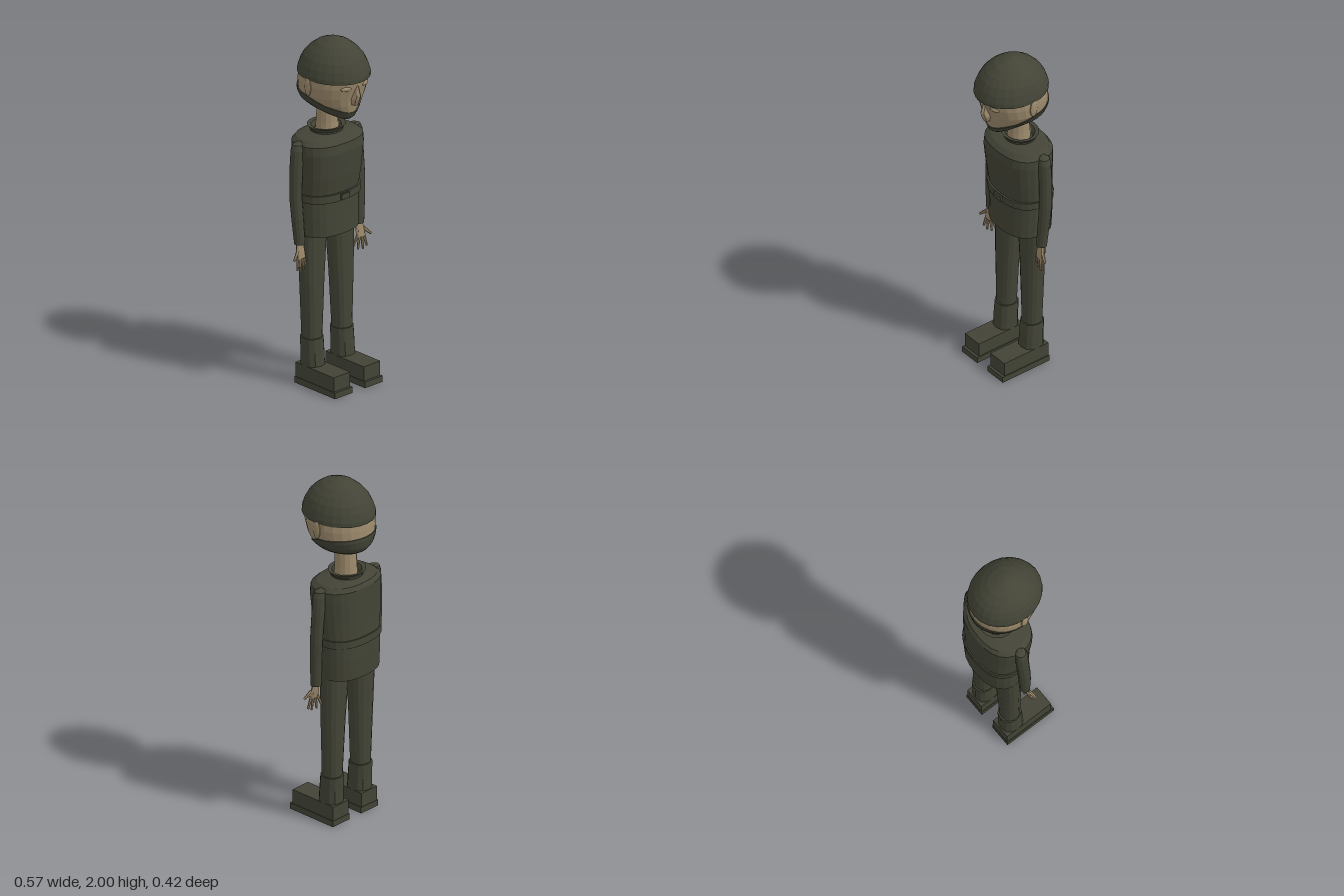
import * as THREE from 'three';

const mat = (name, color) => {
  const m = new THREE.MeshStandardMaterial({ color, flatShading: true, side: THREE.DoubleSide });
  m.name = name;
  return m;
};

// Closed skin from a grid of points: rows run upwards, columns run around y.
function skin(rows) {
  const n = rows[0].length, pos = [], idx = [];
  rows.forEach(r => r.forEach(p => pos.push(...p)));
  for (let i = 0; i < rows.length - 1; i++) for (let j = 0; j < n; j++) {
    const k = (j + 1) % n, a = i * n + j, b = i * n + k, c = b + n, d = a + n;
    idx.push(a, b, c, a, c, d);
  }
  const last = (rows.length - 1) * n;
  for (let j = 1; j < n - 1; j++) idx.push(0, j + 1, j, last, last + j, last + j + 1);
  const g = new THREE.BufferGeometry();
  g.setAttribute('position', new THREE.Float32BufferAttribute(pos, 3));
  g.setIndex(idx);
  g.computeVertexNormals();
  return g;
}

// One rounded cross-section: y, centre x, half width, front z, back z.
function ring([y, cx, rx, zf, zb], n = 20, power = 2) {
  const e = 2 / power, out = [];
  for (let j = 0; j < n; j++) {
    const a = j / n * Math.PI * 2, s = Math.sin(a), c = Math.cos(a);
    out.push([cx + rx * Math.sign(s) * Math.abs(s) ** e, y,
      (zf + zb) / 2 + (zf - zb) / 2 * Math.sign(c) * Math.abs(c) ** e]);
  }
  return out;
}
const loft = (sections, n, power) => skin(sections.map(s => ring(s, n, power)));

// Head outline, chin to crown
const HEAD = [
  [1.56, 0, 0.03, 0.115, 0.01], [1.58, 0, 0.065, 0.14, -0.09], [1.61, 0, 0.105, 0.15, -0.165],
  [1.65, 0, 0.15, 0.158, -0.198], [1.70, 0, 0.178, 0.168, -0.206], [1.76, 0, 0.184, 0.185, -0.203],
  [1.82, 0, 0.18, 0.195, -0.195]];
function headAt(y) {
  let i = 0;
  while (i < HEAD.length - 2 && y > HEAD[i + 1][0]) i++;
  const t = (y - HEAD[i][0]) / (HEAD[i + 1][0] - HEAD[i][0]);
  return HEAD[i].map((v, k) => v + (HEAD[i + 1][k] - v) * t);
}

export function createModel() {
  const root = new THREE.Group();
  const olive = mat('olive cloth', 0x434436), flesh = mat('skin', 0x9c8a6c);
  const add = (name, geo, m, parent = root) => {
    const mesh = new THREE.Mesh(geo, m);
    mesh.name = name;
    parent.add(mesh);
    return mesh;
  };
  const box = (name, w, h, d, x, y, z, parent) =>
    add(name, new THREE.BoxGeometry(w, h, d), olive, parent).position.set(x, y, z);
  const rod = (name, a, b, r0, r1, m, parent) => {
    const A = new THREE.Vector3(...a), B = new THREE.Vector3(...b), dir = B.clone().sub(A);
    const r = add(name, new THREE.CylinderGeometry(r1, r0, dir.length(), 6), m, parent);
    r.position.copy(A).add(B).multiplyScalar(0.5);
    r.quaternion.setFromUnitVectors(new THREE.Vector3(0, 1, 0), dir.normalize());
  };
  const ball = (name, sx, sy, sz, x, y, z, m, parent) => {
    const b = add(name, new THREE.SphereGeometry(1, 10, 8), m, parent);
    b.scale.set(sx, sy, sz);
    b.position.set(x, y, z);
    return b;
  };

  // Helmet
  const dome = [[0.186, 1.797], [0.184, 1.82], [0.172, 1.86], [0.153, 1.9], [0.125, 1.935],
    [0.086, 1.968], [0.04, 1.99], [0, 2]].map(p => new THREE.Vector2(...p));
  add('helmet', new THREE.LatheGeometry(dome, 24), olive).scale.z = 0.212 / 0.186;

  // Head and the wrap around jaw and nape, with an upper edge that rises to the back
  const head = new THREE.Group();
  head.name = 'head';
  root.add(head);
  add('face', loft(HEAD, 24), flesh, head);
  const wrap = [], N = 32;
  for (let i = 0; i <= 8; i++) {
    const row = [];
    for (let j = 0; j < N; j++) {
      const c = Math.cos(j / N * Math.PI * 2), s = (1 - c) / 2;
      const edge = s < 0.5 ? 1.605 + 0.2 * s : 1.705 + 0.03 * (s - 0.5);
      const [y, cx, rx, zf, zb] = headAt(1.56 + (edge - 1.56) * i / 8);
      row.push(ring([y - 0.002, cx, rx + 0.005, zf + 0.005, zb - 0.005], N)[j]);
    }
    wrap.push(row);
  }
  // Leave the upper end hidden inside the head
  wrap.push(wrap[8].map(([x, y, z]) => [x * 0.9, y, z * 0.9]));
  wrap.push(wrap[9].map(() => [0, 1.66, 0]));
  add('jawWrap', skin(wrap), olive, head);

  // Nose, ears and brow
  add('nose', loft([[1.655, 0, 0.018, 0.185, 0.13], [1.69, 0, 0.027, 0.2, 0.13],
    [1.715, 0, 0.02, 0.208, 0.13], [1.77, 0, 0.01, 0.19, 0.13]], 8), flesh, head);
  for (const s of [-1, 1]) {
    ball('ear', 0.012, 0.052, 0.025, s * 0.182, 1.755, -0.01, flesh, head);
    const lid = ball('eyelid', 0.032, 0.014, 0.012, s * 0.068, 1.763, 0.167, flesh, head);
    lid.rotation.y = s * 0.35;
  }

  // Neck and collar
  add('neck', loft([[1.42, 0, 0.066, 0.015, -0.12], [1.5, 0, 0.06, 0.01, -0.115],
    [1.64, 0, 0.056, 0.01, -0.105]], 14), flesh);
  const collar = [[1.435, 0, 0.092, 0.03, -0.145], [1.455, 0, 0.09, 0.025, -0.145],
    [1.478, 0, 0.108, 0.04, -0.16], [1.474, 0, 0.085, 0.02, -0.14], [1.45, 0, 0.07, 0.01, -0.125]];
  add('collar', loft(collar, 20), olive);

  // Jacket, belt and buckle
  add('jacket', loft([[0.88, 0, 0.186, 0.078, -0.2], [1.0, 0, 0.19, 0.074, -0.204],
    [1.1, 0, 0.19, 0.072, -0.203], [1.22, 0, 0.2, 0.09, -0.2], [1.36, 0, 0.21, 0.102, -0.2],
    [1.41, 0, 0.208, 0.096, -0.2], [1.433, 0, 0.18, 0.07, -0.185], [1.447, 0, 0.1, 0.03, -0.15]],
    24, 2.4), olive);
  add('belt', loft([[1.078, 0, 0.198, 0.086, -0.21], [1.122, 0, 0.199, 0.086, -0.21]], 24, 2.4), olive);
  box('buckle', 0.06, 0.032, 0.012, 0, 1.1, 0.089);

  for (const s of [-1, 1]) {
    const side = s > 0 ? 'left' : 'right';
    const group = part => {
      const g = new THREE.Group();
      g.name = side + part;
      root.add(g);
      return g;
    };

    // Sleeve
    const arm = group('Arm');
    add('sleeve', loft([[0.845, s * 0.216, 0.031, -0.008, -0.066], [1.0, s * 0.226, 0.034, -0.012, -0.078],
      [1.12, s * 0.231, 0.035, -0.018, -0.088], [1.28, s * 0.223, 0.036, -0.022, -0.094],
      [1.385, s * 0.213, 0.039, -0.022, -0.094], [1.415, s * 0.208, 0.032, -0.03, -0.09],
      [1.425, s * 0.2, 0.015, -0.045, -0.075]], 12), olive, arm);

    // Hand with spread fingers
    const hand = group('Hand');
    add('palm', loft([[0.765, s * 0.22, 0.03, -0.012, -0.034], [0.8, s * 0.219, 0.032, -0.014, -0.044],
      [0.855, s * 0.216, 0.02, -0.02, -0.054]], 8), flesh, hand);
    [[0.198, 0.17, 0.70, -0.04], [0.211, 0.2, 0.695, -0.026], [0.226, 0.23, 0.692, -0.018],
      [0.24, 0.254, 0.705, -0.014]].forEach(([x0, x1, y, z]) =>
      rod('finger', [s * x0, 0.778, -0.025], [s * x1, y, z], 0.009, 0.006, flesh, hand));
    rod('thumb', [s * 0.238, 0.81, -0.025], [s * 0.28, 0.77, -0.01], 0.011, 0.007, flesh, hand);

    // Trouser leg, gaiter and boot
    const leg = group('Leg');
    add('trouserLeg', loft([[0.25, s * 0.11, 0.053, -0.002, -0.108], [0.6, s * 0.107, 0.069, 0, -0.118],
      [0.92, s * 0.1, 0.086, 0.002, -0.13]], 14, 2.3), olive, leg);
    add('gaiter', loft([[0.11, s * 0.11, 0.062, 0.018, -0.115], [0.2, s * 0.11, 0.061, 0.012, -0.115],
      [0.275, s * 0.11, 0.06, 0.006, -0.118]], 12, 2.4), olive, leg);
    box('boot', 0.12, 0.085, 0.3, s * 0.11, 0.0755, 0.03, leg);
    box('sole', 0.13, 0.035, 0.317, s * 0.11, 0.0175, 0.0365, leg);
  }
  return root;
}
